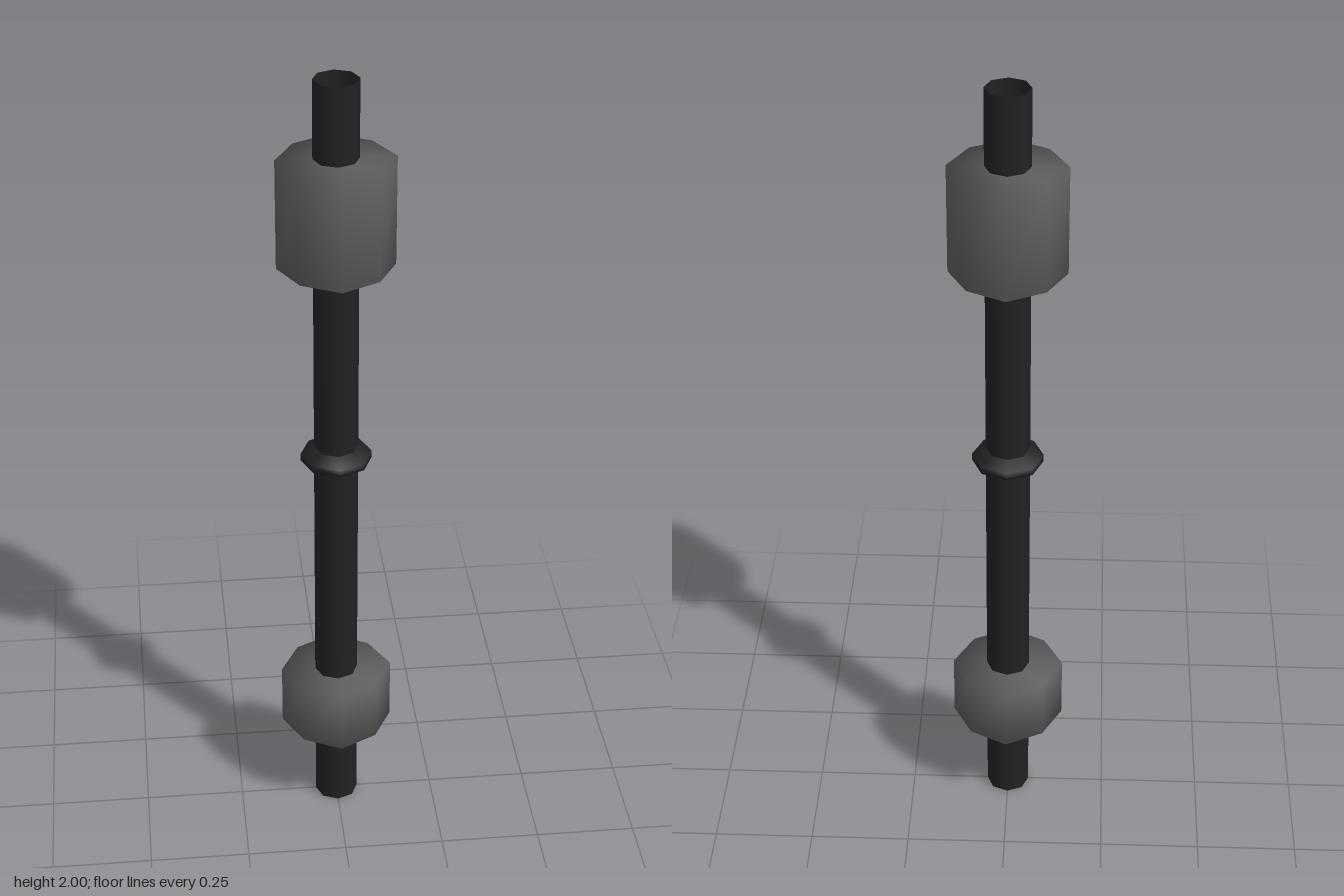
import * as THREE from 'three';
import { mergeVertices } from 'three/addons/utils/BufferGeometryUtils.js';

const SIDES = 8;

// Weld a geometry by position only, so normals run smoothly over its edges.
function softened(geometry) {
  geometry.deleteAttribute('uv');
  geometry.deleteAttribute('normal');
  const welded = mergeVertices(geometry, 1e-4);
  welded.computeVertexNormals();
  return welded;
}

// Eight-sided block whose diagonal corners are pulled in slightly.
function weightGeometry(height) {
  const geometry = new THREE.CylinderGeometry(0.14, 0.14, height, SIDES);
  const p = geometry.attributes.position;
  for (let i = 0; i < p.count; i++) {
    const x = p.getX(i), z = p.getZ(i);
    if (Math.abs(x) > 0.05 && Math.abs(z) > 0.05) {
      p.setXYZ(i, x * 0.93, p.getY(i), z * 0.93);
    }
  }
  return softened(geometry);
}

export function createModel() {
  const model = new THREE.Group();
  model.name = 'weightedRod';

  const darkMetal = new THREE.MeshStandardMaterial({ color: 0x222222, side: THREE.DoubleSide });
  darkMetal.name = 'dark metal';
  const greyMetal = new THREE.MeshStandardMaterial({ color: 0x5e5e5e });
  greyMetal.name = 'grey metal';

  function add(name, geometry, material, y = 0) {
    const mesh = new THREE.Mesh(geometry, material);
    mesh.name = name;
    mesh.position.y = y;
    model.add(mesh);
  }

  // Long hollow rod, open at both ends
  add('rod', new THREE.CylinderGeometry(0.054, 0.054, 2, SIDES, 1, true), darkMetal, 1);

  // Thin bevelled collar around the middle
  const profile = [[0.053, 1.005], [0.087, 1.02], [0.087, 1.038], [0.053, 1.057]]
    .map(([r, y]) => new THREE.Vector2(r, y));
  add('collar', new THREE.LatheGeometry(profile, SIDES), darkMetal);

  // Tall upper weight and short lower weight
  for (const [name, bottom, top] of [['upperWeight', 1.54, 1.81], ['lowerWeight', 0.235, 0.395]]) {
    add(name, weightGeometry(top - bottom), greyMetal, (top + bottom) / 2);
  }

  return model;
}
